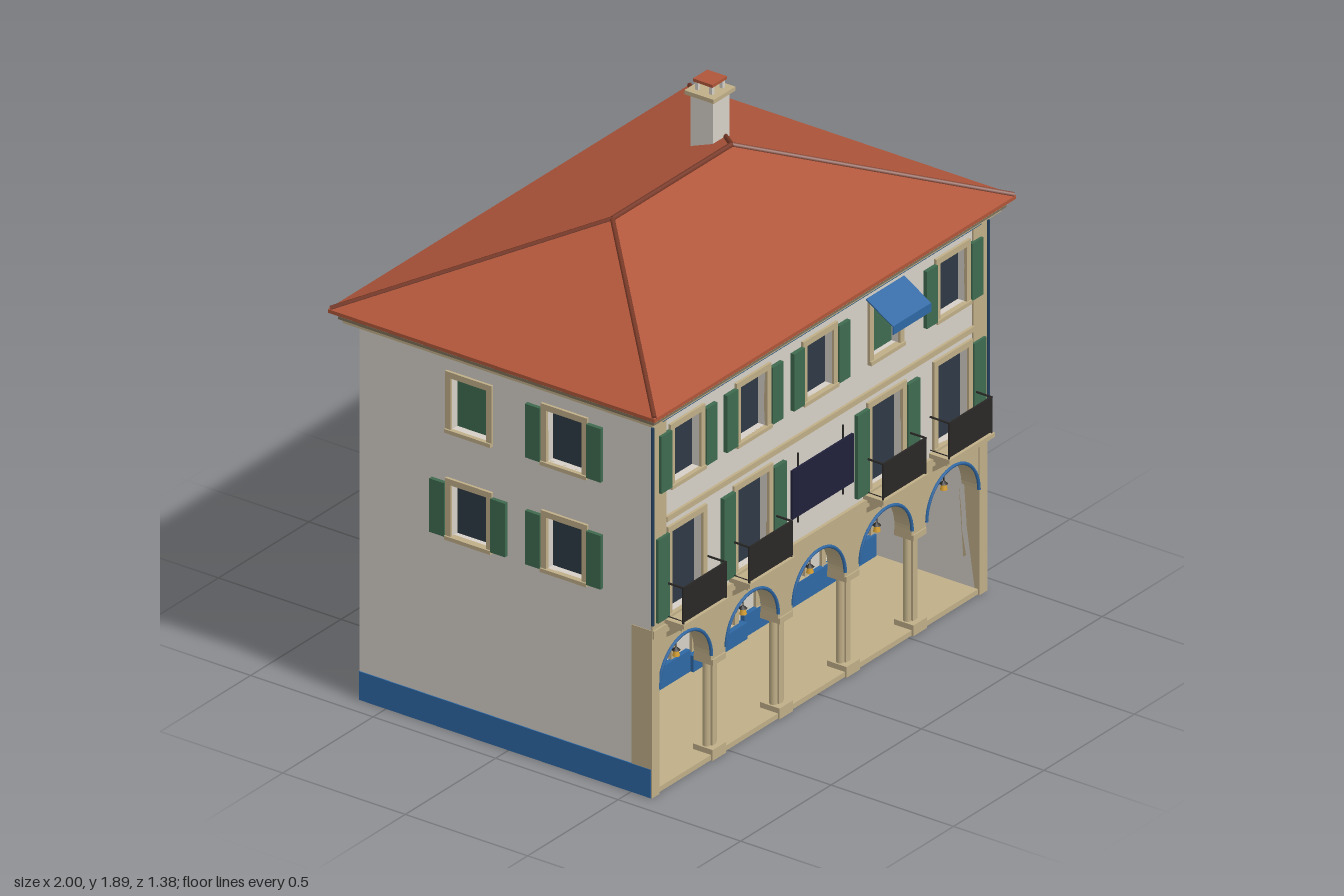
import * as THREE from 'three';
import { ConvexGeometry } from 'three/addons/geometries/ConvexGeometry.js';

const mat = (color) => new THREE.MeshStandardMaterial({ color, side: THREE.DoubleSide });
const M = {
  wall: mat(0xd6d0c7), tan: mat(0xc0af88), roof: mat(0xb0563a), ridge: mat(0x7a3a28),
  green: mat(0x3f6b50), glass: mat(0x2f3a45), blue: mat(0x2f68a4), pipe: mat(0x24405f),
  iron: mat(0x2a2826), navy: mat(0x20203a), door: mat(0x5c3a22), eave: mat(0x7d7059), gold: mat(0xd8a030),
};
const V = (x, y, z) => new THREE.Vector3(x, y, z);

function mesh(parent, name, geo, material) {
  const m = new THREE.Mesh(geo, material);
  m.name = name;
  parent.add(m);
  return m;
}
// Box given by its minimum and maximum on each axis
function box(parent, name, material, x0, x1, y0, y1, z0, z1) {
  const m = mesh(parent, name, new THREE.BoxGeometry(x1 - x0, y1 - y0, z1 - z0), material);
  m.position.set((x0 + x1) / 2, (y0 + y1) / 2, (z0 + z1) / 2);
  return m;
}
function rod(parent, name, material, a, b, r, sides = 6) {
  const m = mesh(parent, name, new THREE.CylinderGeometry(r, r, a.distanceTo(b), sides), material);
  m.position.copy(a).add(b).multiplyScalar(0.5);
  m.quaternion.setFromUnitVectors(V(0, 1, 0), b.clone().sub(a).normalize());
  return m;
}
function rect(C, x0, x1, y0, y1) {
  return new C([[x0, y0], [x1, y0], [x1, y1], [x0, y1]].map(([x, y]) => new THREE.Vector2(x, y)));
}
// Slab with holes; its outer face lies at local z = front
function slab(parent, name, material, shape, holes, depth, front = 0) {
  shape.holes.push(...holes);
  const geo = new THREE.ExtrudeGeometry(shape, { depth, bevelEnabled: false, curveSegments: 16 });
  geo.translate(0, 0, front - depth);
  return mesh(parent, name, geo, material);
}
const T = 0.04; // wall thickness
const hole = (w) => rect(THREE.Path, w.x - w.w / 2, w.x + w.w / 2, w.y0, w.y1);

// Recessed pane, surround, sill and shutters
function addWindow(parent, { x, w, y0, y1, sides = [-1, 1], closed = false, sw = 0.06 }) {
  const g = new THREE.Group();
  g.name = 'window';
  g.position.x = x;
  parent.add(g);
  const f = 0.022, h = w / 2;
  box(g, closed ? 'closedShutter' : 'pane', closed ? M.green : M.glass, -h, h, y0, y1, -0.035, -0.028);
  slab(g, 'windowFrame', M.tan, rect(THREE.Shape, -h - f, h + f, y0 - 0.008, y1 + f),
    [rect(THREE.Path, -h, h, y0, y1)], 0.014, 0.01);
  box(g, 'sill', M.tan, -h - f, h + f, y0 - 0.014, y0, -0.01, 0.016);
  if (!closed) for (const s of sides) {
    const c = s * (h + f + sw / 2);
    box(g, 'shutter', M.green, c - sw / 2, c + sw / 2, y0 - 0.004, y1 + 0.004, 0.001, 0.016);
  }
}

function addBalcony(parent, x) {
  const g = new THREE.Group();
  g.name = 'balcony';
  g.position.x = x;
  parent.add(g);
  box(g, 'balconySlab', M.tan, -0.125, 0.125, 0.62, 0.636, 0, 0.085);
  box(g, 'balconyMoulding', M.tan, -0.115, 0.115, 0.605, 0.62, 0, 0.07);
  const profile = new THREE.Shape([[0, 0.56], [0.015, 0.57], [0.06, 0.605], [0, 0.605]].map((p) => new THREE.Vector2(...p)));
  for (const s of [-1, 1]) {
    const b = slab(g, 'balconyBracket', M.tan, profile.clone(), [], 0.02);
    b.rotation.y = -Math.PI / 2;
    b.position.x = s * 0.095 - 0.01;
    rod(g, 'railPost', M.iron, V(s * 0.117, 0.636, 0.077), V(s * 0.117, 0.77, 0.077), 0.004);
    rod(g, 'sideRail', M.iron, V(s * 0.117, 0.768, 0), V(s * 0.117, 0.768, 0.08), 0.004);
    rod(g, 'sideRail', M.iron, V(s * 0.117, 0.645, 0), V(s * 0.117, 0.645, 0.08), 0.002);
  }
  box(g, 'railPanel', M.iron, -0.12, 0.12, 0.642, 0.77, 0.074, 0.08);
}

function facade(parent, name, x, z, ry) {
  const g = new THREE.Group();
  g.name = name;
  g.position.set(x, 0, z);
  g.rotation.y = ry;
  parent.add(g);
  return g;
}

function addArcade(front) {
  const R = 0.145, spring = 0.39, centres = [-0.74, -0.37, 0, 0.37, 0.74];
  // One outline with the arches cut out of its foot
  const s = new THREE.Shape();
  s.moveTo(-0.885, 0.6);
  s.lineTo(-0.885, 0.37);
  for (const c of centres) {
    s.lineTo(c - R, 0.37);
    s.lineTo(c - R, spring);
    s.absarc(c, spring, R, Math.PI, 0, true);
    s.lineTo(c + R, 0.37);
  }
  s.lineTo(0.885, 0.37);
  s.lineTo(0.885, 0.6);
  slab(front, 'arcadeWall', M.tan, s, [], 0.07);
  for (const c of centres) {
    const trim = mesh(front, 'archTrim', new THREE.TorusGeometry(R, 0.006, 6, 24, Math.PI), M.blue);
    trim.position.set(c, spring, 0.002);
    rod(front, 'lanternChain', M.iron, V(c, 0.535, -0.035), V(c, 0.46, -0.035), 0.002);
    mesh(front, 'lantern', new THREE.CylinderGeometry(0.008, 0.013, 0.022, 8), M.gold).position.set(c, 0.45, -0.035);
    mesh(front, 'lanternCap', new THREE.ConeGeometry(0.015, 0.014, 8), M.iron).position.set(c, 0.467, -0.035);
  }
  for (const c of [-0.555, -0.185, 0.185, 0.555]) {
    box(front, 'columnBase', M.tan, c - 0.037, c + 0.037, 0, 0.04, -0.075, 0.005);
    box(front, 'columnCore', M.tan, c - 0.012, c + 0.012, 0.04, 0.35, -0.055, -0.015);
    for (const dx of [-0.017, 0.017]) rod(front, 'columnShaft', M.tan, V(c + dx, 0.04, -0.035), V(c + dx, 0.35, -0.035), 0.014, 12);
    box(front, 'columnCapital', M.tan, c - 0.036, c + 0.036, 0.35, 0.372, -0.075, 0.005);
  }
}

export function createModel() {
  const root = new THREE.Group();
  root.name = 'arcadedHouse';
  const X = 0.925, ZF = 0.58, ZB = -0.61, TOP = 1.41;

  // Side walls: local x runs to the right when facing the wall
  const sideWall = (name, s, closedRow, closedZ) => {
    const g = facade(root, name, s * X, 0, s * Math.PI / 2);
    const wins = [];
    for (const [y0, y1] of [[0.72, 0.91], [1.115, 1.305]]) for (const z of [0.23, -0.16])
      wins.push({ x: -s * z, w: 0.145, y0, y1, closed: (y0 > 1) === closedRow && z === closedZ });
    const [a, b] = s > 0 ? [-ZF, -ZB] : [ZB, ZF];
    slab(g, 'sideWall', M.wall, rect(THREE.Shape, a, b, 0, TOP), wins.map(hole), T);
    wins.forEach((w) => addWindow(g, w));
    box(g, 'sidePlinth', M.blue, a, b, 0, 0.105, 0, 0.004);
  };
  sideWall('leftSide', 1, false, 0.23);
  sideWall('rightSide', -1, true, -0.16);
  box(root, 'backWall', M.wall, -X + T, X - T, 0, TOP, ZB, ZB + T);

  // Front, upper storeys
  const front = facade(root, 'front', 0, ZF, 0);
  const wins = [];
  for (const x of [-0.735, -0.37, 0.37, 0.735])
    wins.push({ x, w: 0.17, y0: 0.645, y1: 0.945, sw: 0.066, sides: Math.abs(x) > 0.5 ? [Math.sign(x)] : [-1, 1] });
  for (const x of [-0.735, -0.37, 0, 0.367, 0.735])
    wins.push({ x, w: 0.147, y0: 1.117, y1: 1.32, closed: x === 0.367 });
  slab(front, 'frontWall', M.wall, rect(THREE.Shape, -X + T, X - T, 0.6, TOP), wins.map(hole), T);
  wins.forEach((w) => addWindow(front, w));
  for (const x of [-0.735, -0.37, 0.37, 0.735]) addBalcony(front, x);
  box(front, 'lowerBand', M.tan, -X, X, 0.588, 0.618, 0, 0.012);
  box(front, 'upperBand', M.tan, -0.85, 0.85, 0.99, 1.01, 0, 0.01);
  addArcade(front);
  for (const s of [-1, 1]) {
    const c = s * 0.8875;
    box(front, 'cornerStrip', M.tan, c - 0.0375, c + 0.0375, 0.61, 1.4, -0.002, 0.006);
    box(front, 'cornerPier', M.tan, s * 0.906 - 0.021, s * 0.906 + 0.021, 0, 0.618, -0.08, 0.005);
    rod(front, 'downpipe', M.pipe, V(s * 0.928, 0.64, 0.008), V(s * 0.928, 1.37, 0.008), 0.006);
  }
  rod(front, 'gutterPipe', M.blue, V(-0.88, 1.38, 0.012), V(0.88, 1.38, 0.012), 0.006);

  // Hanging panel on two rods
  box(front, 'hangingPanel', M.navy, -0.17, 0.168, 0.72, 0.9, 0.012, 0.02);
  for (const s of [-1, 1]) rod(front, 'panelRod', M.iron, V(s * 0.125, 0.69, 0.008), V(s * 0.125, 0.945, 0.008), 0.004);

  // Awning with hanging edge
  const awning = box(front, 'awning', M.blue, -0.105, 0.105, -0.002, 0.002, 0, 0.13);
  awning.geometry.translate(0, 0, 0.065);
  awning.position.set(0.367, 1.35, 0);
  awning.rotation.x = 0.55;
  box(front, 'awningValance', M.blue, 0.262, 0.472, 1.252, 1.284, 0.108, 0.112);

  // Porch behind the arcade
  const porch = facade(root, 'porch', 0, 0.15, 0);
  const shop = [-0.735, -0.37, 0.37, 0.735].map((x) => ({ x, w: 0.25, y0: 0.1, y1: 0.445 }));
  const doorway = { x: 0, w: 0.215, y0: 0.08, y1: 0.4 };
  slab(porch, 'porchWall', M.wall, rect(THREE.Shape, -0.885, 0.885, 0, 0.6), [...shop, doorway].map(hole), T);
  shop.forEach((w) => addWindow(porch, { ...w, sides: [] }));
  box(porch, 'door', M.door, -0.1075, 0.1075, 0.08, 0.4, -0.035, -0.025);
  slab(porch, 'doorFrame', M.tan, rect(THREE.Shape, -0.13, 0.13, 0.08, 0.42), [hole(doorway)], 0.014, 0.01);
  box(porch, 'doorStep', M.blue, -0.15, 0.15, 0.02, 0.08, 0, 0.03);
  for (const s of [-1, 1]) box(porch, 'porchPlinth', M.blue, s * 0.515 - 0.365, s * 0.515 + 0.365, 0.02, 0.1, 0, 0.018);
  box(porch, 'porchFloor', M.tan, -0.885, 0.885, 0.001, 0.02, -0.02, 0.428);
  box(porch, 'porchCeiling', M.wall, -0.885, 0.885, 0.575, 0.59, -0.03, 0.365);
  box(porch, 'doorLampBar', M.iron, -0.08, 0.08, 0.438, 0.446, 0, 0.02);

  // Eaves and hipped roof
  box(root, 'eaveBoard', M.tan, -0.965, 0.965, 1.395, 1.41, -0.65, 0.615);
  box(root, 'eaveShadow', M.eave, -0.975, 0.975, 1.41, 1.427, -0.662, 0.628);
  box(root, 'eaveTop', M.tan, -0.985, 0.985, 1.427, 1.437, -0.672, 0.638);
  const zc = -0.018, hz = 0.667, corners = [];
  for (const sx of [-1, 1]) for (const sz of [-1, 1]) corners.push(V(sx, 1.45, zc + sz * hz));
  const ends = [V(-0.33, 1.71, zc), V(0.33, 1.71, zc)];
  mesh(root, 'roof', new ConvexGeometry([...corners, ...corners.map((p) => V(p.x, 1.437, p.z)), ...ends]), M.roof);
  rod(root, 'ridge', M.ridge, ends[0], ends[1], 0.01);
  for (const c of corners) {
    const end = ends[c.x < 0 ? 0 : 1];
    rod(root, 'hipRidge', M.ridge, c.clone().lerp(end, 0.008), end, 0.009);
  }

  // Chimney
  const chimney = facade(root, 'chimney', 0.402, -0.16, 0);
  box(chimney, 'chimneyStack', M.wall, -0.046, 0.046, 1.56, 1.832, -0.046, 0.046);
  box(chimney, 'chimneyCap', M.tan, -0.06, 0.06, 1.83, 1.845, -0.06, 0.06);
  for (const sx of [-1, 1]) for (const sz of [-1, 1])
    box(chimney, 'chimneyPost', M.wall, sx * 0.029 - 0.006, sx * 0.029 + 0.006, 1.845, 1.876, sz * 0.029 - 0.006, sz * 0.029 + 0.006);
  box(chimney, 'chimneyLid', M.roof, -0.04, 0.04, 1.875, 1.886, -0.04, 0.04);
  return root;
}
